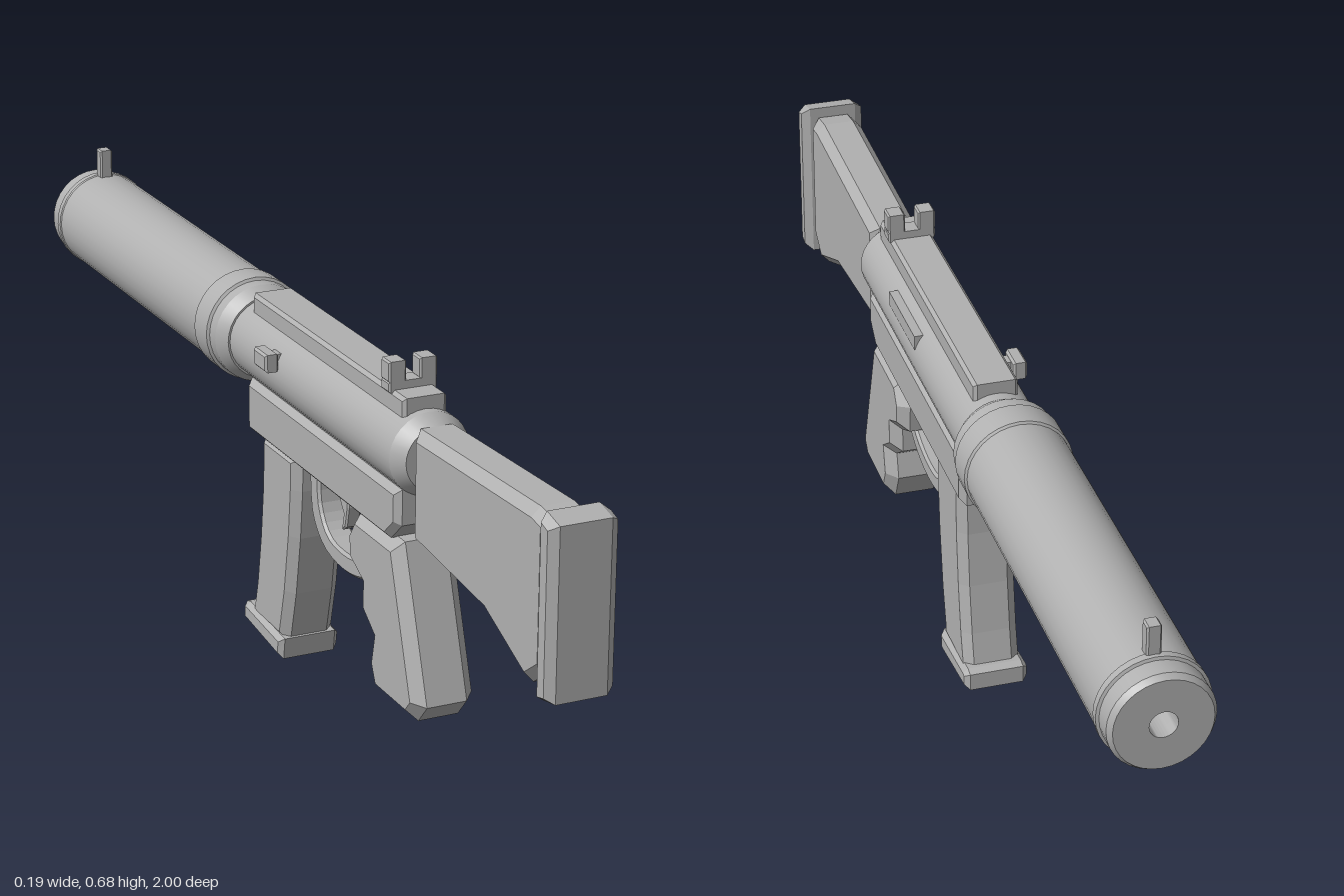
import * as THREE from 'three';
import { toCreasedNormals } from 'three/addons/utils/BufferGeometryUtils.js';

const grey = new THREE.MeshStandardMaterial({ color: 0xb0b0b0 });
grey.name = 'plain grey';

const AXIS = 0.537; // height of the barrel axis

export function createModel() {
  const model = new THREE.Group();
  model.name = 'longGun';

  const add = (name, geometry, x = 0, y = 0, z = 0) => {
    const mesh = new THREE.Mesh(geometry, grey);
    mesh.name = name;
    mesh.position.set(x, y, z);
    model.add(mesh);
    return mesh;
  };

  // Side outline given as [z, y] points, extruded across x with chamfered edges
  const slab = (name, outline, halfWidth, bevel, x = 0, bevelX = bevel) => {
    const shape = new THREE.Shape(outline.map(([z, y]) => new THREE.Vector2(-z, y)));
    const depth = 2 * (halfWidth - bevelX);
    const geometry = new THREE.ExtrudeGeometry(shape, {
      depth, bevelEnabled: bevel > 0, bevelThickness: bevelX,
      bevelSize: bevel, bevelOffset: -bevel, bevelSegments: 1,
    });
    geometry.translate(0, 0, -depth / 2).rotateY(Math.PI / 2);
    return add(name, geometry, x);
  };

  // Chamfered block from z, y ranges
  const block = (name, z0, z1, y0, y1, halfWidth, bevel, x = 0) =>
    slab(name, [[z0, y0], [z1, y0], [z1, y1], [z0, y1]], halfWidth, bevel, x);

  // Turned part along z, profile given as [radius, z] points
  const turned = (name, profile) => {
    const points = profile.map(([r, z]) => new THREE.Vector2(r, z));
    const geometry = new THREE.LatheGeometry(points, 32).rotateX(Math.PI / 2);
    add(name, toCreasedNormals(geometry, 0.4), 0, AXIS, 0);
  };

  // Barrel sleeve with muzzle hole, end ring and rear collar
  turned('barrelSleeve', [
    [0, -0.94], [0.023, -0.94], [0.023, -1], [0.08, -1], [0.087, -0.99], [0.087, -0.957],
    [0.092, -0.955], [0.092, -0.942], [0.09, -0.94], [0.09, -0.27], [0.094, -0.267],
    [0.094, -0.213], [0.089, -0.21], [0.089, -0.185], [0.075, -0.16], [0, -0.16],
  ]);

  // Receiver tube
  turned('receiver', [
    [0, -0.17], [0.0715, -0.17], [0.0715, 0.48], [0.055, 0.508], [0, 0.508],
  ]);

  // Lower housing
  slab('lowerHousing', [
    [0.48, 0.42], [0.44, 0.385], [-0.12, 0.385], [-0.12, 0.482], [0.48, 0.482],
  ], 0.058, 0.011);

  // Top rail and sights
  block('topRail', -0.135, 0.465, 0.59, 0.63, 0.039, 0.006);
  block('rearSightBase', 0.388, 0.42, 0.625, 0.644, 0.043, 0.003);
  for (const side of [-1, 1]) {
    block('rearSightPost', 0.388, 0.42, 0.642, 0.678, 0.0155, 0.003, side * 0.0275);
  }
  block('frontSight', -0.948, -0.924, 0.615, 0.679, 0.012, 0.003);

  // Ejection port cover on the left, bolt handle on the right
  block('ejectionPort', 0.125, 0.29, 0.557, 0.584, 0.01, 0, 0.0595);
  block('boltStem', 0.01, 0.035, 0.555, 0.575, 0.02, 0, -0.065);
  block('boltHandle', -0.005, 0.047, 0.548, 0.58, 0.0125, 0.004, -0.0825);

  // Shoulder stock and butt plate
  slab('stock', [
    [0.505, 0.4], [0.505, 0.592], [0.91, 0.605], [0.955, 0.598],
    [0.955, 0.355], [0.9, 0.315], [0.76, 0.375],
  ], 0.044, 0.016);
  slab('buttPlate', [
    [0.958, 0.312], [0.958, 0.617], [1, 0.607], [1, 0.32],
  ], 0.059, 0.011, 0, 0.015);

  // Pistol grip with finger notches
  slab('grip', [
    [0.47, 0.387], [0.31, 0.387], [0.28, 0.345], [0.285, 0.292], [0.335, 0.267],
    [0.335, 0.22], [0.378, 0.19], [0.367, 0.142], [0.39, 0.093], [0.525, 0.093],
    [0.556, 0.128],
  ], 0.056, 0.02);

  // Trigger guard: outer curve out, inner curve back
  const curve = (points) => new THREE.CatmullRomCurve3(
    points.map(([z, y]) => new THREE.Vector3(z, y, 0))).getPoints(16).map((p) => [p.x, p.y]);
  slab('triggerGuard', [
    ...curve([[0.34, 0.275], [0.28, 0.246], [0.2, 0.235], [0.125, 0.25], [0.08, 0.295], [0.068, 0.395]]),
    ...curve([[0.104, 0.395], [0.112, 0.32], [0.145, 0.28], [0.2, 0.27], [0.26, 0.277], [0.32, 0.3]]),
  ], 0.024, 0.005);

  // Trigger
  slab('trigger', [
    [0.2, 0.395], [0.16, 0.395], [0.164, 0.355], [0.184, 0.33], [0.178, 0.298],
    [0.194, 0.308], [0.202, 0.345],
  ], 0.013, 0.003);

  // Curved magazine and its floor plate
  slab('magazine', [
    [0.066, 0.395], [-0.079, 0.395], [-0.082, 0.3], [-0.093, 0.2], [-0.108, 0.11], [-0.125, 0.035],
    [0.012, 0.03], [0.037, 0.13], [0.055, 0.24], [0.064, 0.33],
  ], 0.05, 0.016);
  slab('magazineFloor', [
    [0.02, 0.04], [0.014, 0], [-0.145, 0.018], [-0.145, 0.05], [-0.13, 0.054],
  ], 0.057, 0.009);

  return model;
}
